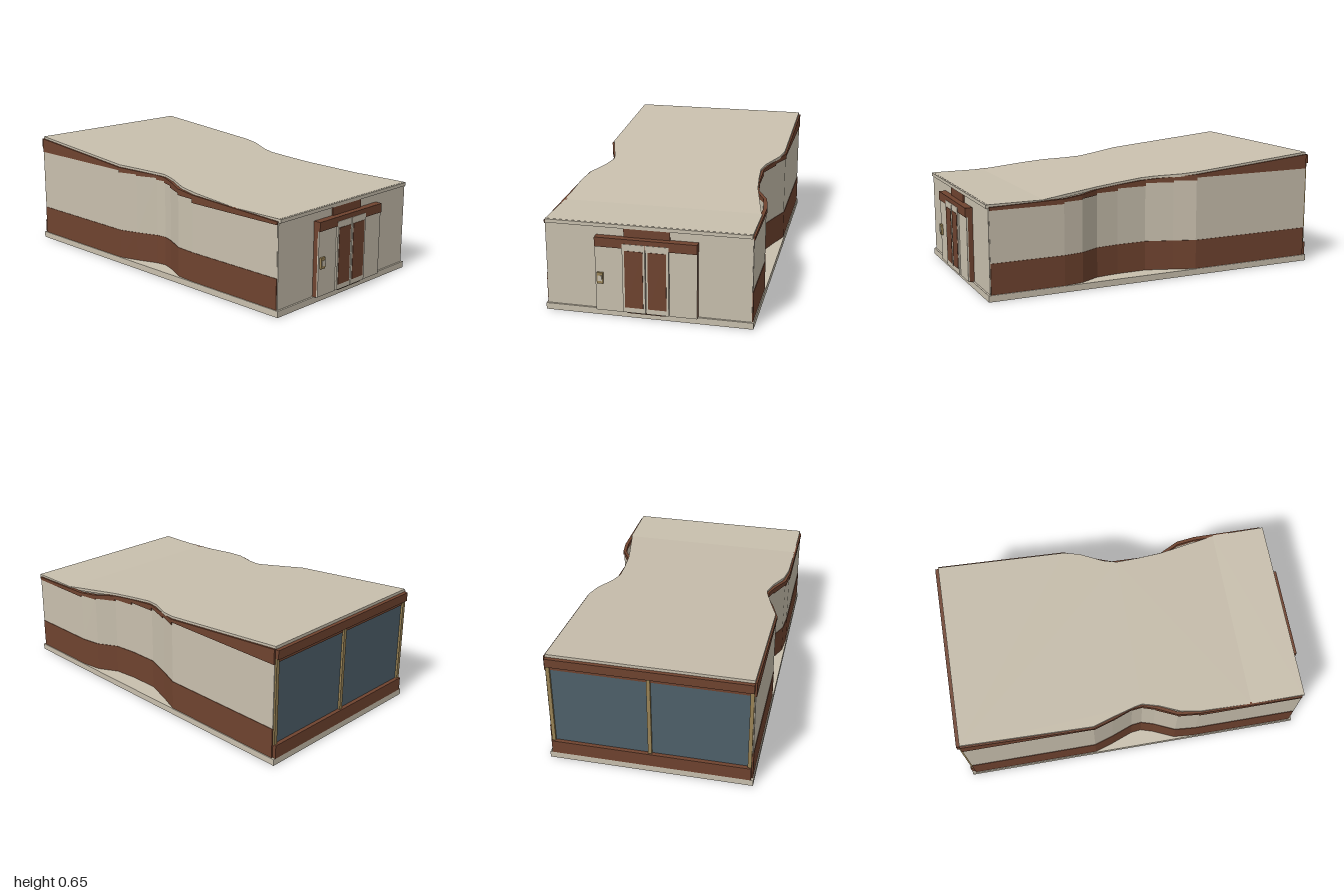
import * as THREE from 'three';

const mat = (name, color) => {
  const m = new THREE.MeshStandardMaterial({ color });
  m.name = name;
  return m;
};

export function createModel() {
  const cream = mat('cream', 0xc8bfad);
  const brown = mat('brown', 0x6f432f);
  const glass = mat('glass', 0x4e606a);
  const tan = mat('tan', 0x9a8456);

  const model = new THREE.Group();
  model.name = 'building';

  const add = (name, geometry, material, parent = model) => {
    const mesh = new THREE.Mesh(geometry, material);
    mesh.name = name;
    parent.add(mesh);
    return mesh;
  };
  // Box given by its limits on each axis
  const box = (name, material, x0, x1, y0, y1, z0, z1, parent) => {
    const g = new THREE.BoxGeometry(x1 - x0, y1 - y0, z1 - z0);
    g.translate((x0 + x1) / 2, (y0 + y1) / 2, (z0 + z1) / 2);
    return add(name, g, material, parent);
  };

  // Roof height: level over the entrance, then rising to the back
  const roofY = (z) => 0.505 + Math.max(0, (0.65 - z) / 1.625) * 0.145;

  // Base slab
  box('baseSlab', cream, -0.548, 0.548, 0, 0.035, -1, 0.96);

  // Roof panels: plan outlines extruded, then lifted onto the slope
  const roofPanel = (name, outline) => {
    const shape = new THREE.Shape(outline.map(([x, z]) => new THREE.Vector2(x, -z)));
    const g = new THREE.ExtrudeGeometry(shape, { depth: 0.016, bevelEnabled: false });
    g.rotateX(-Math.PI / 2);
    const p = g.attributes.position;
    for (let i = 0; i < p.count; i++) p.setY(i, p.getY(i) - 0.016 + roofY(p.getZ(i)));
    g.computeVertexNormals();
    add(name, g, cream);
  };
  roofPanel('frontRoof', [[-0.535, 0.95], [0.535, 0.95], [0.535, 0.65], [-0.535, 0.65]]);
  roofPanel('slopingRoof', [
    [-0.535, 0.65], [0.53, 0.65], [0.46, 0.32], [0.445, 0.18], [0.436, 0.05], [0.455, -0.03],
    [0.515, -0.16], [0.535, -0.25], [0.535, -0.98], [-0.535, -0.98], [-0.535, -0.25],
    [-0.498, -0.14], [-0.455, 0], [-0.447, 0.04], [-0.47, 0.13], [-0.52, 0.25], [-0.535, 0.36],
  ]);

  // One prism of wall between two plan points [x, z]
  const wallPiece = (name, material, side, a, b, bottom, top, out, parent) => {
    const g = new THREE.BoxGeometry(1, 1, 1);
    const p = g.attributes.position;
    for (let i = 0; i < p.count; i++) {
      const [x, z] = p.getZ(i) > 0 ? a : b;
      const outer = p.getX(i) * side > 0;
      p.setXYZ(i, side * (outer ? x + out : x - 0.015), p.getY(i) > 0 ? top(z) : bottom, z);
    }
    g.computeVertexNormals();
    add(name, g, material, parent);
  };

  // Side walls, front to back: [x, z, underside of the fascia behind this point]
  const walls = {
    left: [[0.54, 0.945, 0.475], [0.54, 0.54, 0.485], [0.522, 0.43, 0.49], [0.462, 0.32, 0.5],
      [0.447, 0.19, 0.513], [0.445, 0.02, 0.53], [0.495, -0.13, 0.54], [0.54, -0.25, 0.555],
      [0.54, -0.98, 0]],
    right: [[0.54, 0.945, 0.475], [0.54, 0.35, 0.495], [0.53, 0.23, 0.505], [0.475, 0.11, 0.515],
      [0.453, 0.04, 0.525], [0.46, -0.02, 0.535], [0.505, -0.14, 0.543], [0.54, -0.25, 0.555],
      [0.54, -0.98, 0]],
  };
  for (const [name, path] of Object.entries(walls)) {
    const side = name === 'left' ? 1 : -1;
    const wall = new THREE.Group();
    wall.name = name + 'Wall';
    model.add(wall);
    for (let i = 0; i < path.length - 1; i++) {
      const [a, b] = [path[i], path[i + 1]];
      const under = a[2];
      wallPiece('lowerBand', brown, side, a, b, 0.035, () => 0.2, 0.003, wall);
      wallPiece('wallPanel', cream, side, a, b, 0.2, () => under, 0, wall);
      wallPiece('fascia', brown, side, a, b, under, (z) => Math.max(roofY(z) - 0.013, under), 0.005, wall);
    }
  }

  // Front wall with a thin top lip
  box('frontWall', cream, -0.538, 0.538, 0.035, 0.485, 0.935, 0.95);
  box('frontLip', cream, -0.535, 0.535, 0.485, 0.504, 0.935, 0.96);

  // Entrance
  const entrance = new THREE.Group();
  entrance.name = 'entrance';
  model.add(entrance);
  box('lintel', brown, -0.265, 0.265, 0.39, 0.44, 0.95, 0.99, entrance);
  box('upperPanel', brown, -0.12, 0.12, 0.44, 0.485, 0.95, 0.957, entrance);
  box('threshold', brown, -0.1, 0.1, 0.035, 0.042, 0.95, 0.985, entrance);
  for (const s of [-1, 1]) {
    const span = (a, b) => (s > 0 ? [a, b] : [-b, -a]);
    box('sidePanelCore', brown, ...span(0.122, 0.264), 0.035, 0.39, 0.95, 0.976, entrance);
    box('sidePanel', cream, ...span(0.122, 0.265), 0.038, 0.39, 0.976, 0.984, entrance);
    box('doorLeaf', cream, ...span(0.002, 0.12), 0.042, 0.415, 0.95, 0.992, entrance);
    box('doorPanel', brown, ...span(0.013, 0.108), 0.07, 0.38, 0.992, 0.994, entrance);
  }
  box('entryPadFrame', tan, -0.255, -0.222, 0.19, 0.25, 0.984, 0.996, entrance);
  box('entryPadScreen', cream, -0.249, -0.227, 0.205, 0.235, 0.996, 0.999, entrance);

  // Back window wall
  const back = new THREE.Group();
  back.name = 'backWindow';
  model.add(back);
  box('sill', brown, -0.535, 0.535, 0.035, 0.11, -1, -0.96, back);
  box('header', brown, -0.535, 0.535, 0.585, 0.634, -1, -0.96, back);
  box('innerHeader', brown, -0.53, 0.53, 0.56, 0.585, -0.982, -0.96, back);
  box('glassPane', glass, -0.53, 0.53, 0.11, 0.56, -0.978, -0.97, back);
  for (const x of [-0.525, 0, 0.525]) {
    box('mullion', tan, x - 0.01, x + 0.01, 0.11, 0.585, -0.99, -0.968, back);
  }

  return model;
}
